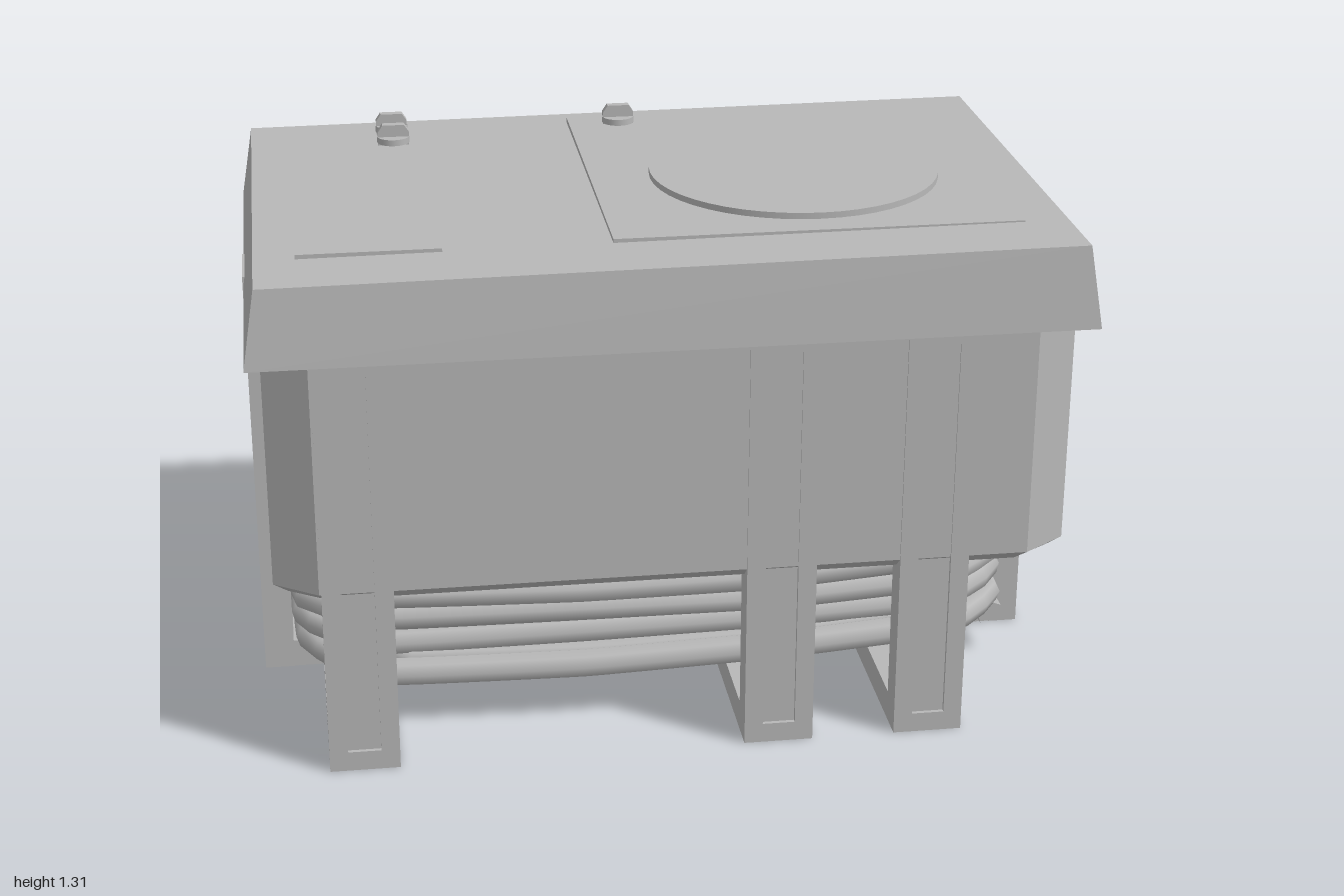
import * as THREE from 'three';

const grey = new THREE.MeshStandardMaterial({ color: 0xb8b8b8 });
grey.name = 'plain grey';

export function createModel() {
  const model = new THREE.Group();
  model.name = 'coolingUnit';

  const add = (name, geometry, parent = model) => {
    const mesh = new THREE.Mesh(geometry, grey);
    mesh.name = name;
    parent.add(mesh);
    return mesh;
  };
  // Box given by its lower and upper corners
  const box = (name, x0, x1, y0, y1, z0, z1, parent) => {
    const g = new THREE.BoxGeometry(x1 - x0, y1 - y0, z1 - z0);
    g.translate((x0 + x1) / 2, (y0 + y1) / 2, (z0 + z1) / 2);
    return add(name, g, parent);
  };
  // Solid through a stack of rings, each anticlockwise seen from above
  const loft = (name, rings) => {
    const p = [];
    const tri = (...v) => v.forEach((c) => p.push(...c));
    const n = rings[0].length;
    for (let r = 0; r < rings.length - 1; r++) {
      for (let i = 0; i < n; i++) {
        const j = (i + 1) % n;
        const [a, b, c, d] = [rings[r][i], rings[r][j], rings[r + 1][j], rings[r + 1][i]];
        tri(a, b, c);
        tri(a, c, d);
      }
    }
    const bottom = rings[0], top = rings[rings.length - 1];
    for (let i = 1; i < n - 1; i++) {
      tri(bottom[0], bottom[i + 1], bottom[i]);
      tri(top[0], top[i], top[i + 1]);
    }
    const g = new THREE.BufferGeometry();
    g.setAttribute('position', new THREE.Float32BufferAttribute(p, 3));
    g.computeVertexNormals();
    return add(name, g);
  };

  // Tank with chamfered corners and a bevelled bottom edge
  const octagon = (y, inset) => {
    const X = 0.962 - inset, Z = 0.632 - inset, x = 0.855 - inset * 0.6, z = 0.558 - inset * 0.6;
    return [[X, y, z], [X, y, -z], [x, y, -Z], [-x, y, -Z],
      [-X, y, -z], [-X, y, z], [-x, y, Z], [x, y, Z]];
  };
  loft('tank', [octagon(0.445, 0.035), octagon(0.475, 0), octagon(1.06, 0)]);

  // Lid with sloping sides and a very slightly tilted top
  const rectangle = (X, Z, height) =>
    [[X, Z], [X, -Z], [-X, -Z], [-X, Z]].map(([x, z]) => [x, height(x, z), z]);
  loft('lid', [
    rectangle(0.998, 0.65, () => 1.055),
    rectangle(0.967, 0.63, (x, z) => 1.249 + x * 0.006 + z * 0.004),
  ]);

  // Hatches on the lid
  box('narrowHatch', -0.87, -0.53, 1.235, 1.256, -0.55, 0.44);
  box('wideHatch', -0.13, 0.86, 1.235, 1.2595, -0.55, 0.44);
  add('roundCover', new THREE.CylinderGeometry(0.362, 0.362, 0.03, 48)).position.set(0.38, 1.26, 0);

  // Turning latches
  for (const [x, z] of [[-0.6, -0.49], [-0.6, -0.39], [0, -0.49]]) {
    const latch = new THREE.Group();
    latch.name = 'latch';
    latch.position.set(x, 1.255, z);
    add('latchBase', new THREE.CylinderGeometry(0.042, 0.042, 0.016, 24), latch).position.y = 0.015;
    const wing = new THREE.Shape([[-0.04, 0], [0.04, 0], [0.04, 0.036], [0.028, 0.054],
      [-0.028, 0.054], [-0.04, 0.036]].map(([u, v]) => new THREE.Vector2(u, v)));
    const g = new THREE.ExtrudeGeometry(wing, { depth: 0.022, bevelEnabled: false });
    add('latchWing', g.translate(0, 0, -0.011), latch);
    model.add(latch);
  }

  // Leg facing +z before turning, with a shallow recessed channel
  const leg = (name, x, reach, height, angle) => {
    const group = new THREE.Group();
    group.name = name;
    box('legCore', -0.085, 0.085, 0, height, reach - 0.075, reach - 0.01, group);
    const face = new THREE.Shape([[-0.085, 0], [0.085, 0], [0.085, height], [-0.085, height]]
      .map(([u, v]) => new THREE.Vector2(u, v)));
    face.holes.push(new THREE.Path([[-0.04, 0.05], [-0.04, 1.03], [0.04, 1.03], [0.04, 0.05]]
      .map(([u, v]) => new THREE.Vector2(u, v))));
    const g = new THREE.ExtrudeGeometry(face, { depth: 0.01, bevelEnabled: false });
    add('legFace', g.translate(0, 0, reach - 0.01), group);
    group.rotation.y = angle;
    group.position.x = x;
    model.add(group);
  };
  for (const x of [-0.765, 0.25, 0.625]) {
    leg('frontLeg', x, 0.636, 1.06, 0);
    leg('backLeg', x, 0.636, 1.06, Math.PI);
    box('crossBeam', x - 0.085, x + 0.085, 0, 0.075, -0.565, 0.565);
  }
  leg('leftLeg', 0, 1, 1.08, Math.PI / 2);
  leg('rightLeg', 0, 1, 1.08, -Math.PI / 2);
  box('longBeam', -0.93, 0.93, 0.001, 0.074, -0.085, 0.085);

  // Upright strip on the left side of the tank
  box('sideStrip', 0.95, 0.972, 0.475, 1.06, -0.385, -0.305);

  // Slanted bracket behind one front leg
  const bracket = new THREE.Shape([[-0.566, 0.075], [-0.566, 0.45], [-0.3, 0.45], [-0.3, 0.29]]
    .map(([u, v]) => new THREE.Vector2(u, v)));
  const bracketPlate = new THREE.ExtrudeGeometry(bracket, { depth: 0.01, bevelEnabled: false });
  add('bracket', bracketPlate.rotateY(Math.PI / 2)).position.x = -0.77;

  // Switch plate on the back
  box('switchPlate', -0.36, 0, 0.56, 0.8, -0.637, -0.628);
  box('switchFrame', -0.13, -0.04, 0.6, 0.75, -0.642, -0.63);
  box('switchRocker', -0.11, -0.06, 0.64, 0.71, -0.645, -0.635);
  box('switchLever', -0.11, -0.06, 0.68, 0.7, -0.65, -0.64);

  // Hose wound in rings under the tank
  const loop = [[0.88, 0.2], [0.88, -0.24], [0.7, -0.43], [0.25, -0.48], [-0.3, -0.48], [-0.72, -0.42],
    [-0.885, -0.22], [-0.885, 0.18], [-0.72, 0.35], [-0.2, 0.38], [0.3, 0.38], [0.72, 0.34]];
  const coil = (name, scale, turns, y0, pitch) => {
    const points = [];
    for (let i = 0; i <= turns * loop.length; i++) {
      const [x, z] = loop[i % loop.length];
      const t = i / loop.length;
      const spread = z > 0 ? 1 + 0.28 * Math.max(0, 1 - t / 1.8) : 1;
      const wobble = 0.006 * Math.sin(i * 1.7 + scale * 9);
      points.push(new THREE.Vector3(x * scale + wobble, y0 + t * pitch + wobble, z * scale * spread));
    }
    const path = new THREE.CatmullRomCurve3(points, false, 'catmullrom', 0.12);
    add(name, new THREE.TubeGeometry(path, points.length * 5, 0.036, 8));
  };
  coil('outerHose', 1, 5.8, 0.108, 0.058);
  coil('middleHose', 0.9, 5.5, 0.115, 0.06);
  coil('innerHose', 0.8, 2.5, 0.11, 0.062);

  return model;
}
